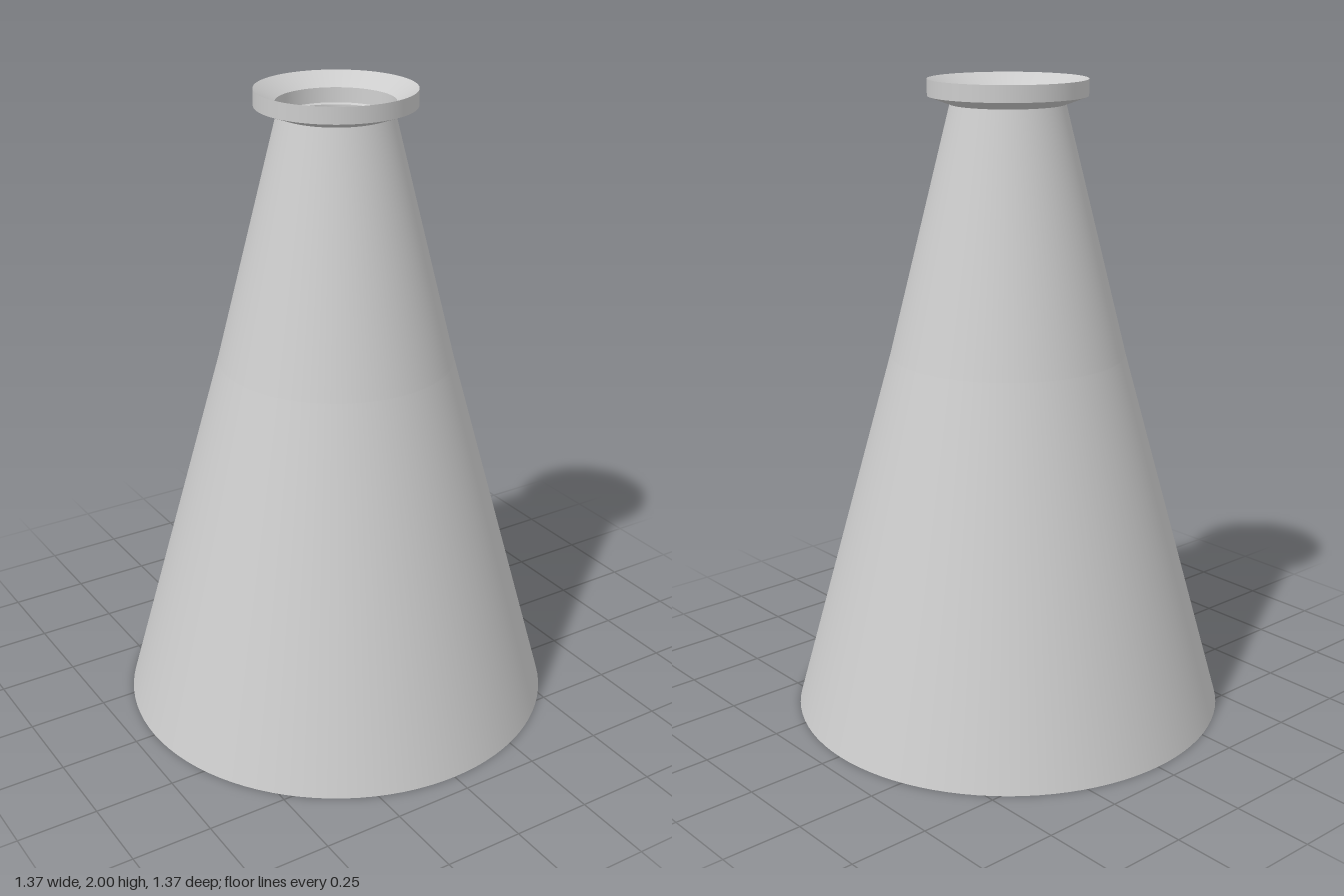
import * as THREE from 'three';

export function createModel() {
  const group = new THREE.Group();
  const grey = new THREE.MeshStandardMaterial({ color: 0xcccccc });
  grey.name = 'light grey';

  // Each profile runs upward outside and downward inside, so faces point away from the wall.
  // One lathe per straight stretch keeps the edges between them sharp.
  const sections = [
    ['base', [0, 0], [0.685, 0]],
    ['lowerBody', [0.685, 0], [0.366, 1.16]],
    ['upperBody', [0.366, 1.16], [0.175, 1.925]],
    ['rimUnderside', [0.175, 1.925], [0.242, 1.95]],
    ['rimEdge', [0.242, 1.95], [0.242, 2]],
    ['rimFunnel', [0.242, 2], [0.179, 1.96]],
    ['throat', [0.179, 1.96], [0.176, 1.915]],
    ['throatStep', [0.176, 1.915], [0.171, 1.91]],
    ['throatLower', [0.171, 1.91], [0.171, 1.87]],
    ['upperInnerWall', [0.171, 1.87], [0.35, 1.16]],
    ['lowerInnerWall', [0.35, 1.16], [0.665, 0.02]],
    ['innerFloor', [0.665, 0.02], [0, 0.02]],
  ];
  for (const [name, from, to] of sections) {
    const points = [new THREE.Vector2(...from), new THREE.Vector2(...to)];
    const mesh = new THREE.Mesh(new THREE.LatheGeometry(points, 96), grey);
    mesh.name = name;
    group.add(mesh);
  }
  return group;
}
